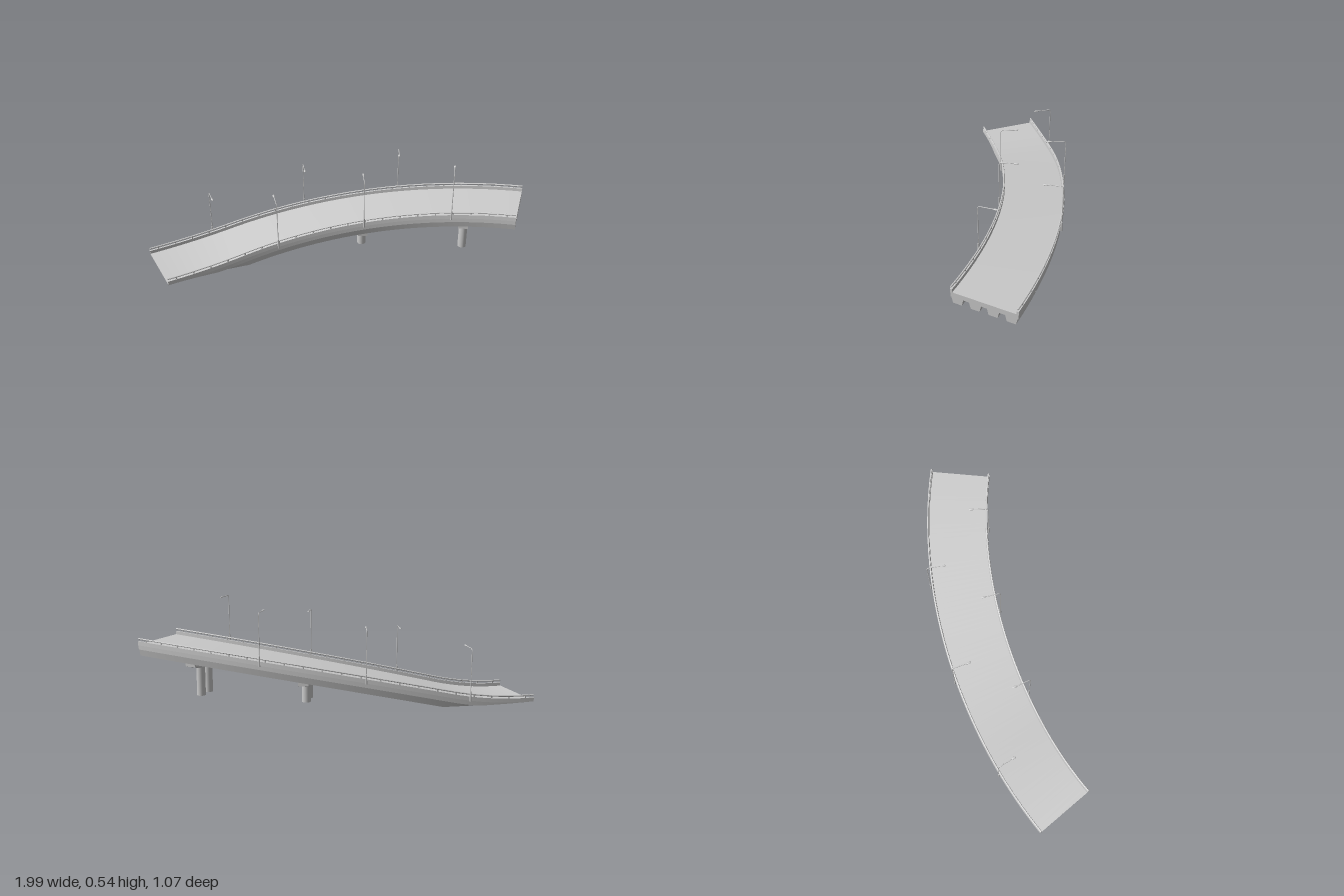
import * as THREE from 'three';

const R = 2.64, CENTRE_X = -1, CENTRE_Z = 2.28, SWEEP = Math.PI / 4;
const material = new THREE.MeshStandardMaterial({ color: 0xcccccc, side: THREE.DoubleSide });

// Height of the road surface at t = 0 (ground end) .. 1 (high end)
function deckHeight(t) {
  const u = t - 0.22;
  const s = t < 0.22 ? (1.7 * t * t) / 0.44 : 0.187 + 1.7 * u - 0.833 * u * u;
  return 0.005 + 0.279 * s;
}

// Point on the curved road: offset is measured outward from the centre line
function roadPoint(t, offset, y) {
  const a = t * SWEEP, r = R + offset;
  return new THREE.Vector3(CENTRE_X + r * Math.sin(a), y, CENTRE_Z - r * Math.cos(a));
}

// Sweeps a convex counter-clockwise profile of [offset, height above deck] along the road,
// cutting it off at the ground
function sweep(name, profile, t0 = 0, t1 = 1, steps = 72) {
  const pos = [], index = [], n = profile.length;
  const add = ([o, dy], t) => {
    const p = roadPoint(t, o, Math.max(0, deckHeight(t) + dy));
    pos.push(p.x, p.y, p.z);
    return pos.length / 3 - 1;
  };
  for (let i = 0; i < n; i++) {
    for (let k = 0; k <= steps; k++) {
      const t = t0 + ((t1 - t0) * k) / steps;
      const a = add(profile[i], t);
      add(profile[(i + 1) % n], t);
      if (k < steps) index.push(a, a + 1, a + 3, a, a + 3, a + 2);
    }
  }
  // End caps
  for (const [t, flip] of [[t0, true], [t1, false]]) {
    const ids = profile.map((p) => add(p, t));
    for (let i = 1; i < n - 1; i++) {
      index.push(ids[0], ids[flip ? i + 1 : i], ids[flip ? i : i + 1]);
    }
  }
  const geo = new THREE.BufferGeometry();
  geo.setAttribute('position', new THREE.Float32BufferAttribute(pos, 3));
  geo.setIndex(index);
  geo.computeVertexNormals();
  return part(name, geo);
}

function part(name, geometry, x = 0, y = 0, z = 0) {
  const mesh = new THREE.Mesh(geometry, material);
  mesh.name = name;
  mesh.position.set(x, y, z);
  return mesh;
}

// Puts an object on the road with local +x outward and local +z along the road
function place(object, t, offset, y) {
  object.position.copy(roadPoint(t, offset, y));
  object.rotation.y = Math.PI / 2 - t * SWEEP;
  return object;
}

// Pier: tapered hammerhead cap on two round columns
function pier(t) {
  const g = new THREE.Group();
  g.name = 'pier';
  const top = deckHeight(t) - 0.064, bottom = top - 0.04;
  const shape = new THREE.Shape([
    [-0.155, top], [-0.155, top - 0.017], [-0.075, bottom],
    [0.075, bottom], [0.155, top - 0.017], [0.155, top],
  ].map(([x, y]) => new THREE.Vector2(x, y)));
  const cap = new THREE.ExtrudeGeometry(shape, { depth: 0.055, bevelEnabled: false });
  cap.translate(0, 0, -0.0275);
  g.add(part('pierCap', cap));
  for (const s of [-1, 1]) {
    g.add(part('pierColumn', new THREE.CylinderGeometry(0.024, 0.024, bottom, 24), s * 0.042, bottom / 2));
  }
  return place(g, t, 0, 0);
}

// Street lamp with its arm reaching over the road
function lamp(t, side) {
  const g = new THREE.Group();
  g.name = 'streetLamp';
  const h = 0.275, path = new THREE.CurvePath();
  const v = (x, y) => new THREE.Vector3(x, y, 0);
  path.add(new THREE.LineCurve3(v(0, 0), v(0, h - 0.015)));
  path.add(new THREE.QuadraticBezierCurve3(v(0, h - 0.015), v(0, h), v(-side * 0.015, h)));
  path.add(new THREE.LineCurve3(v(-side * 0.015, h), v(-side * 0.085, h)));
  g.add(part('lampPole', new THREE.TubeGeometry(path, 60, 0.0022, 8)));
  g.add(part('lampBase', new THREE.CylinderGeometry(0.004, 0.005, 0.055, 10), 0, 0.02));
  const head = part('lampHead', new THREE.SphereGeometry(1, 12, 8), -side * 0.092, h);
  head.scale.set(0.014, 0.0035, 0.006);
  g.add(head);
  return place(g, t, side * 0.181, deckHeight(t));
}

export function createModel() {
  const model = new THREE.Group();
  model.name = 'curvedRampBridge';

  // Road slab
  model.add(sweep('roadDeck', [[-0.173, -0.028], [0.173, -0.028], [0.173, 0], [-0.173, 0]]));

  // Kerb walls, handrails and rail posts on both edges
  for (const side of [-1, 1]) {
    const c = side * 0.1695, w = 0.0065;
    model.add(sweep('parapet', [[c - w, -0.004], [c + w, -0.004], [c + w * 0.8, 0.018], [c - w * 0.8, 0.018]]));
    const ring = [];
    for (let i = 0; i < 8; i++) {
      const a = (i / 8) * Math.PI * 2;
      ring.push([c + 0.0045 * Math.cos(a), 0.031 + 0.0045 * Math.sin(a)]);
    }
    model.add(sweep('handrail', ring));
    const posts = side < 0 ? 20 : 22;
    for (let i = 0; i < posts; i++) {
      const t = (i + 0.5) / posts;
      model.add(place(part('railPost', new THREE.BoxGeometry(0.005, 0.016, 0.007)), t, c, deckHeight(t) + 0.024));
    }
  }

  // Four tapered girders under the slab
  for (const o of [-0.138, -0.046, 0.046, 0.138]) {
    model.add(sweep('girder', [[o - 0.023, -0.064], [o + 0.023, -0.064], [o + 0.031, -0.027], [o - 0.031, -0.027]], 0.125));
  }

  // Cross beams between the girders
  for (let i = 0; i < 8; i++) {
    const t = 0.3 + i * 0.092;
    model.add(place(part('crossBeam', new THREE.BoxGeometry(0.27, 0.028, 0.02)), t, 0, deckHeight(t) - 0.041));
  }

  // Piers
  for (const t of [0.569, 0.856]) model.add(pier(t));

  // Lamps staggered along the two edges
  for (const t of [0.17, 0.42, 0.672]) model.add(lamp(t, 1));
  for (const t of [0.322, 0.571, 0.82]) model.add(lamp(t, -1));

  return model;
}
